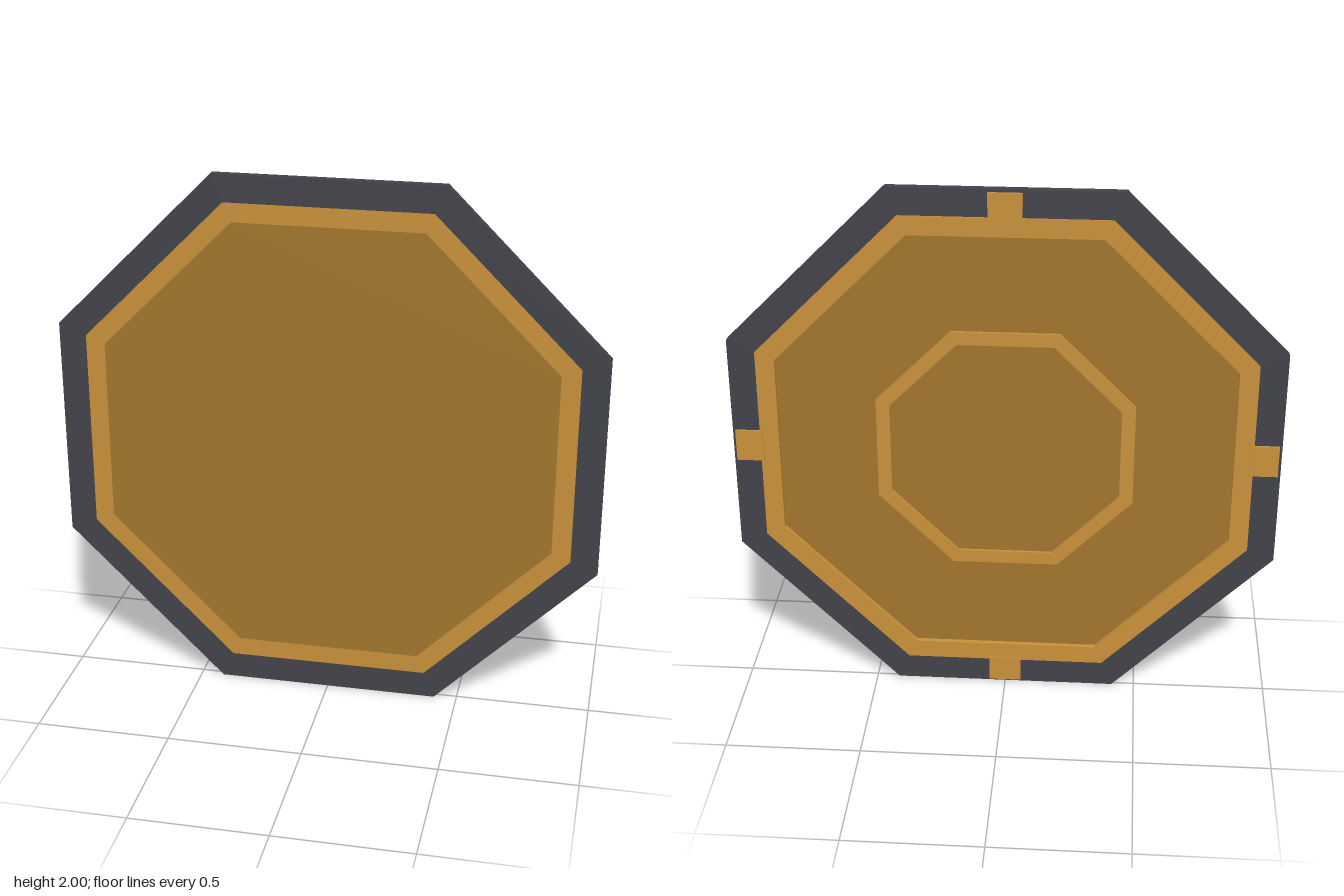
import * as THREE from 'three';

const SIDES = 8;

// Corners of an octagon with flat sides, given the distance from centre to side
function octagon(apothem) {
  const r = apothem / Math.cos(Math.PI / SIDES);
  return Array.from({ length: SIDES }, (_, i) => {
    const a = (i + 0.5) * 2 * Math.PI / SIDES;
    return new THREE.Vector2(r * Math.cos(a), r * Math.sin(a));
  });
}

// Octagonal plate from zBack to zFront, with an optional octagonal hole
function plate(name, material, outer, inner, zBack, zFront) {
  const shape = new THREE.Shape(octagon(outer));
  if (inner > 0) shape.holes.push(new THREE.Path(octagon(inner)));
  const geometry = new THREE.ExtrudeGeometry(shape, { depth: zFront - zBack, bevelEnabled: false });
  geometry.translate(0, 1, zBack);
  const mesh = new THREE.Mesh(geometry, material);
  mesh.name = name;
  return mesh;
}

export function createModel() {
  const darkMetal = new THREE.MeshStandardMaterial({ name: 'darkMetal', color: 0x42424a });
  const brass = new THREE.MeshStandardMaterial({ name: 'brass', color: 0xc8913a });
  const darkBrass = new THREE.MeshStandardMaterial({ name: 'darkBrass', color: 0xa1762c });

  const group = new THREE.Group();
  group.name = 'octagonalHatch';

  // Nested frames and panel, flush at the front and stepped at the back
  group.add(
    plate('outerFrame', darkMetal, 1, 0.9, -0.01, 0.02),
    plate('innerFrame', brass, 0.9, 0.83, -0.015, 0.02),
    plate('panel', darkBrass, 0.83, 0, 0.004, 0.02),
    plate('backRing', brass, 0.47, 0.42, -0.006, 0.004),
  );

  // Four clips across the frame, one on each straight side
  const clips = new THREE.Group();
  clips.name = 'clips';
  clips.position.y = 1;
  for (let i = 0; i < 4; i++) {
    const clip = new THREE.Mesh(new THREE.BoxGeometry(0.1, 0.12, 0.039), brass);
    const a = i * Math.PI / 2;
    clip.name = 'clip';
    clip.position.set(0.94 * Math.cos(a), 0.94 * Math.sin(a), -0.0005);
    clip.rotation.z = a;
    clips.add(clip);
  }
  group.add(clips);
  return group;
}
